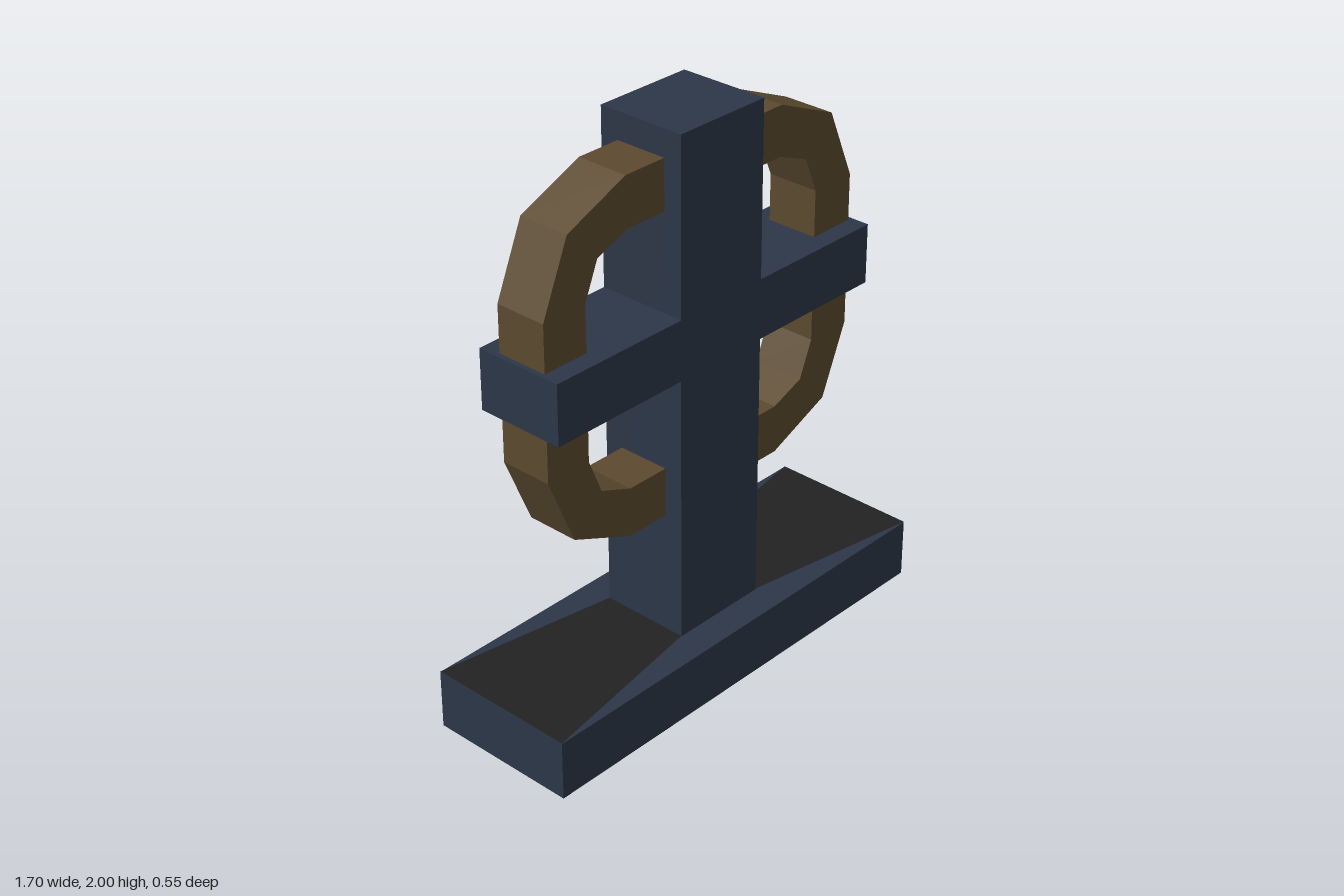
import * as THREE from 'three';

const BASE_TOP = 0.213, RING_Y = 1.28;

function material(color) {
  return new THREE.MeshStandardMaterial({ color, flatShading: true });
}

// Closed outline with chamfered corners, mirrored from one quadrant
function outline(PathType, quadrant) {
  const back = [...quadrant].reverse();
  return new PathType([
    ...quadrant,
    ...back.map(([x, y]) => [-x, y]),
    ...quadrant.map(([x, y]) => [-x, -y]),
    ...back.map(([x, y]) => [x, -y]),
  ].map(([x, y]) => new THREE.Vector2(x, y)));
}

export function createModel() {
  const model = new THREE.Group();
  model.name = 'ringedCross';
  const stone = material(0x2d3748);
  const bronze = material(0x5c4a2f);
  const dark = material(0x222222);

  const add = (name, geometry, mat) => {
    const mesh = new THREE.Mesh(geometry, mat);
    mesh.name = name;
    model.add(mesh);
    return mesh;
  };
  const block = (name, width, bottom, top, depth) => {
    const mesh = add(name, new THREE.BoxGeometry(width, top - bottom, depth), stone);
    mesh.position.y = (bottom + top) / 2;
  };

  // Plinth, upright and arms
  block('base', 1.7, 0, BASE_TOP, 0.55);
  block('post', 0.37, BASE_TOP, 2, 0.326);
  block('crossbar', 1.436, 1.173, 1.386, 0.326);

  // Dark tapered panels on the base, one each side of the post
  for (const side of [1, -1]) {
    const panel = new THREE.Shape([
      new THREE.Vector2(0.185, -0.163),
      new THREE.Vector2(0.85, -0.275),
      new THREE.Vector2(0.85, 0.275),
      new THREE.Vector2(0.185, 0.163),
    ]);
    const geometry = new THREE.ShapeGeometry(panel).rotateX(-Math.PI / 2);
    if (side < 0) geometry.rotateY(Math.PI);
    const mesh = add(side > 0 ? 'leftBasePanel' : 'rightBasePanel', geometry, dark);
    mesh.position.y = BASE_TOP + 0.002;
  }

  // Faceted ring passing through the post and the arms
  const ring = outline(THREE.Shape, [[0.7, 0.272], [0.595, 0.521], [0.35, 0.625]]);
  ring.holes.push(outline(THREE.Path, [[0.526, 0.272], [0.473, 0.4], [0.346, 0.45]]));
  const ringGeometry = new THREE.ExtrudeGeometry(ring, { depth: 0.19, bevelEnabled: false });
  ringGeometry.translate(0, RING_Y, -0.095);
  add('ring', ringGeometry, bronze);

  return model;
}
